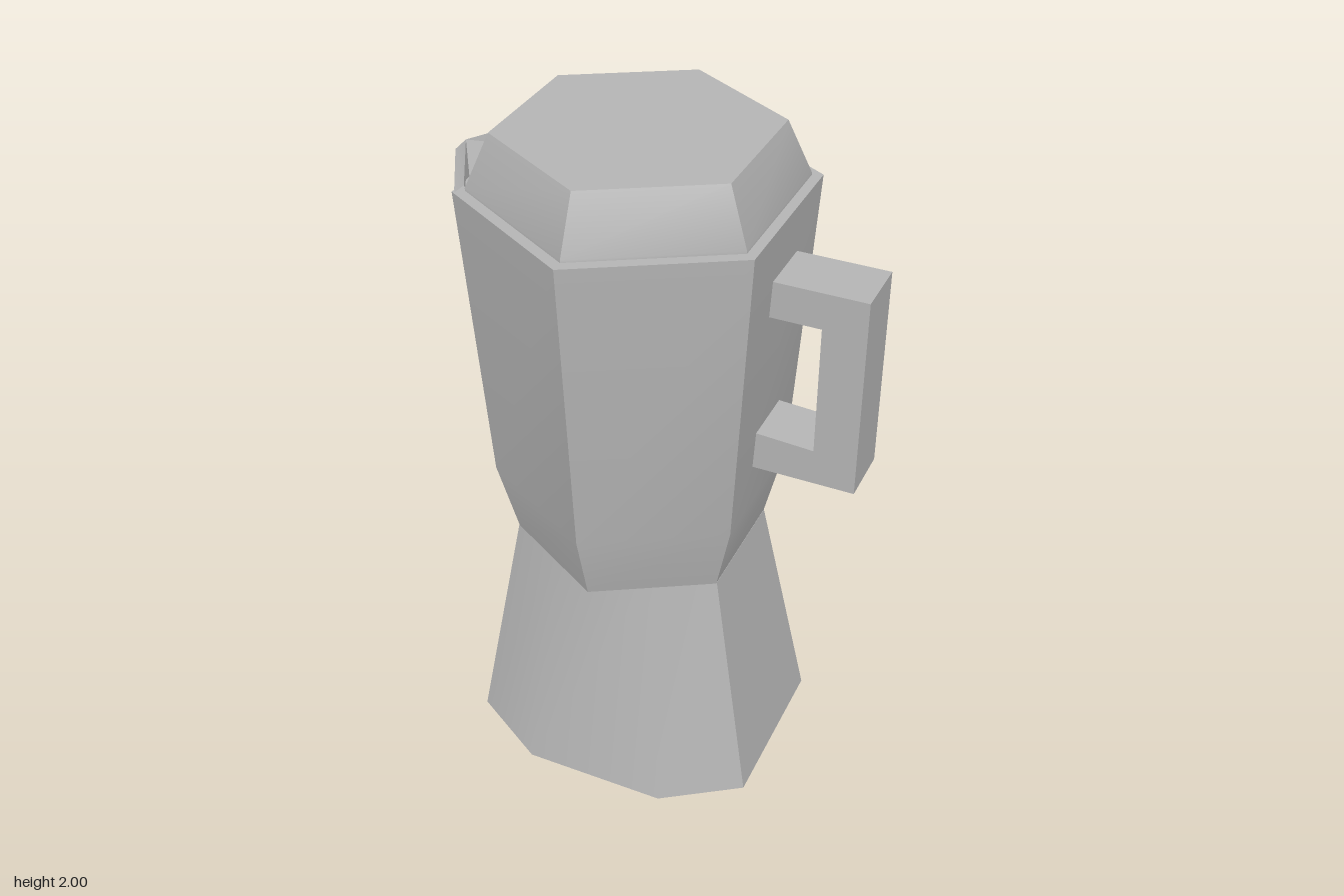
import * as THREE from 'three';
import { toCreasedNormals } from 'three/addons/utils/BufferGeometryUtils.js';

const CREASE = 0.6;
const metal = new THREE.MeshStandardMaterial({ color: 0xb4b4b4 });
metal.name = 'brushed aluminium';

// mesh from a list of triangles, sharp only at strong edges
function meshFrom(name, triangles) {
  const g = new THREE.BufferGeometry();
  g.setAttribute('position', new THREE.Float32BufferAttribute(triangles.flat(2), 3));
  const mesh = new THREE.Mesh(toCreasedNormals(g, CREASE), metal);
  mesh.name = name;
  return mesh;
}

// skin a stack of equal-length rings (bottom to top) and close both ends
function loft(name, rings) {
  const n = rings[0].length, tris = [];
  for (let r = 0; r < rings.length - 1; r++) {
    const lo = rings[r], hi = rings[r + 1];
    for (let i = 0; i < n; i++) {
      const j = (i + 1) % n;
      tris.push([lo[i], lo[j], hi[j]], [lo[i], hi[j], hi[i]]);
    }
  }
  const bottom = rings[0], top = rings[rings.length - 1];
  for (let i = 1; i < n - 1; i++) {
    tris.push([bottom[0], bottom[i + 1], bottom[i]], [top[0], top[i], top[i + 1]]);
  }
  return meshFrom(name, tris);
}

// hexagon with corners pointing to the front and back
function hexagon(radius, y, cz = 0.015) {
  return Array.from({ length: 6 }, (_, i) => {
    const a = (i * Math.PI) / 3;
    return [-0.06 + radius * Math.sin(a), y, cz + radius * Math.cos(a)];
  });
}

export function createModel() {
  const model = new THREE.Group();
  model.name = 'stovetopCoffeePot';

  // flared boiler, its front corner cut flat
  model.add(loft('boiler', [
    [[0.16, 0, 0.39], [0.385, 0.02, 0.26], [0.385, 0.02, -0.24], [-0.06, 0.005, -0.49],
      [-0.5, 0.015, -0.24], [-0.5, 0.015, 0.26], [-0.27, 0, 0.39]],
    [[0.08, 0.745, 0.29], [0.255, 0.745, 0.195], [0.255, 0.745, -0.165], [-0.06, 0.745, -0.345],
      [-0.375, 0.745, -0.165], [-0.375, 0.745, 0.195], [-0.2, 0.745, 0.29]],
  ]));

  // hexagonal jug and lid
  model.add(loft('jug', [hexagon(0.362, 0.742), hexagon(0.418, 0.96), hexagon(0.477, 1.843)]));
  model.add(loft('lid', [hexagon(0.445, 1.835, 0.012), hexagon(0.445, 1.85, 0.012), hexagon(0.377, 2, 0.012)]));

  // pouring spout: outer walls, lip and hollow inside
  const tip = [-0.605, 1.825, 0.01], lip = [-0.57, 1.86, 0.01], keel = [-0.468, 1.70, 0.015];
  const backOuter = [-0.465, 1.843, -0.225], frontOuter = [-0.465, 1.843, 0.255];
  const backInner = [-0.45, 1.855, -0.2], frontInner = [-0.45, 1.855, 0.23];
  const backFloor = [-0.46, 1.79, -0.15], frontFloor = [-0.455, 1.79, 0.19];
  model.add(meshFrom('spout', [
    [tip, backOuter, keel], [tip, keel, frontOuter],
    [tip, lip, backInner], [tip, backInner, backOuter],
    [tip, frontInner, lip], [tip, frontOuter, frontInner],
    [lip, frontFloor, backFloor],
    [lip, backFloor, backInner], [lip, frontInner, frontFloor],
  ]));

  // square bracket handle on the side opposite the spout
  const outline = [[0.30, 1.105], [0.60, 1.105], [0.60, 1.695], [0.335, 1.695],
    [0.33, 1.59], [0.48, 1.59], [0.48, 1.21], [0.305, 1.22]];
  const shape = new THREE.Shape(outline.map(([x, y]) => new THREE.Vector2(x, y)));
  const bar = new THREE.ExtrudeGeometry(shape, { depth: 0.17, bevelEnabled: false });
  bar.translate(0, 0, -0.073);
  const handle = new THREE.Mesh(toCreasedNormals(bar, CREASE), metal);
  handle.name = 'handle';
  model.add(handle);

  return model;
}
